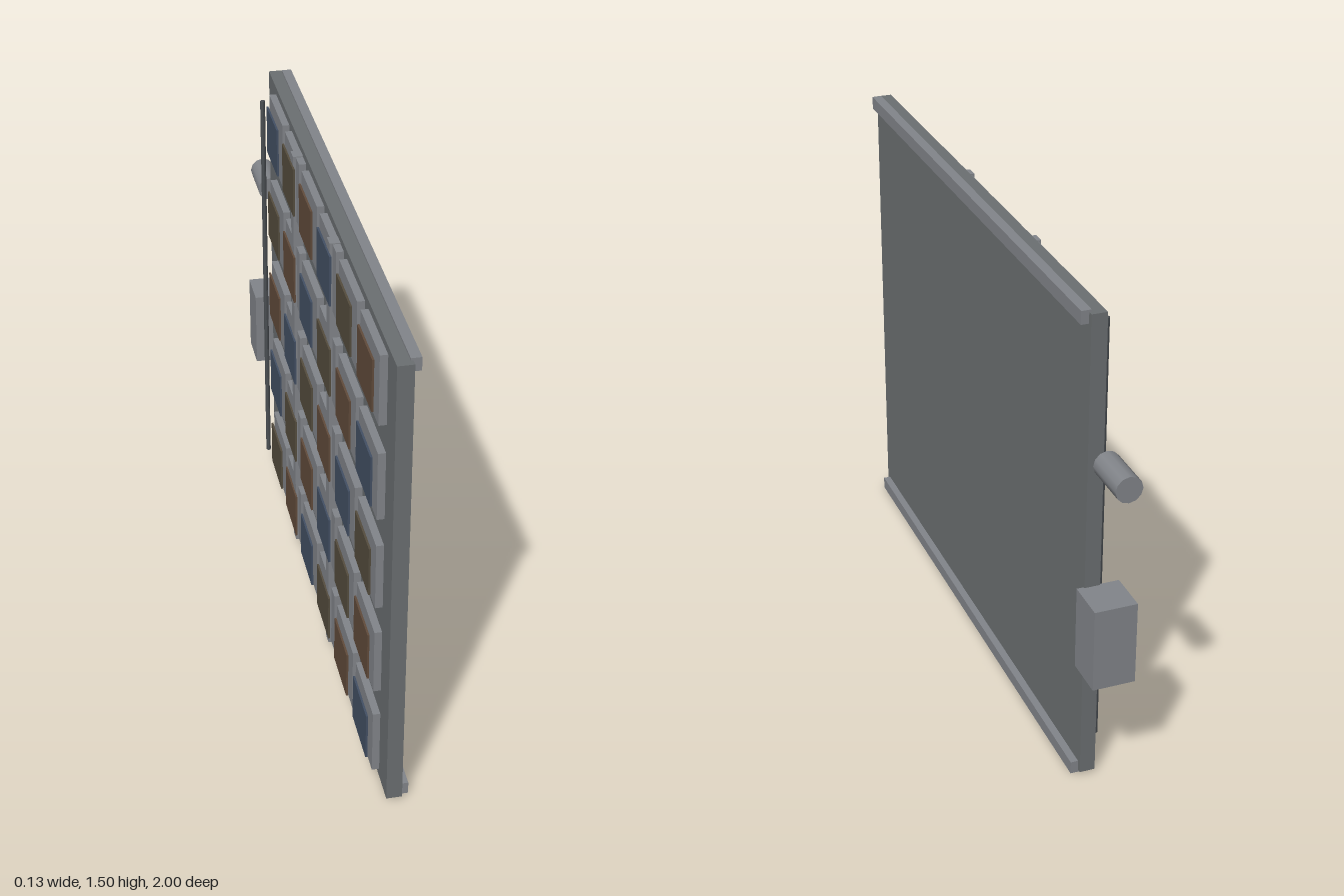
import * as THREE from 'three';

const paint = (color, flatShading = true) => new THREE.MeshStandardMaterial({ color, flatShading });

export function createModel() {
  const model = new THREE.Group();
  const slab = paint(0x6b6f71);
  const steel = paint(0x82858a);
  const dark = paint(0x4a4e52);

  // Box given by its min and max on each axis
  const box = (name, material, [x0, x1], [y0, y1], [z0, z1]) => {
    const mesh = new THREE.Mesh(new THREE.BoxGeometry(x1 - x0, y1 - y0, z1 - z0), material);
    mesh.position.set((x0 + x1) / 2, (y0 + y1) / 2, (z0 + z1) / 2);
    mesh.name = name;
    model.add(mesh);
  };

  // Main slab with a rail along its top and bottom edge
  box('panel', slab, [-0.006, 0.041], [0.012, 1.5], [-0.825, 1]);
  box('bottomRail', steel, [0.034, 0.064], [0.003, 0.043], [-0.81, 0.98]);
  box('topRail', steel, [0.034, 0.064], [1.467, 1.507], [-0.81, 0.98]);

  // Latch block and round bolt at the rear edge
  box('latchBlock', steel, [-0.066, 0.063], [0.397, 0.657], [-0.95, -0.82]);
  const bolt = new THREE.Mesh(new THREE.CylinderGeometry(0.04, 0.04, 0.15, 12), paint(0x82858a, false));
  bolt.name = 'bolt';
  bolt.rotation.x = Math.PI / 2;
  bolt.position.set(-0.004, 1.06, -0.925);
  model.add(bolt);

  // Slim upright rod beside the first column
  const rod = new THREE.Mesh(new THREE.CylinderGeometry(0.008, 0.008, 1.365, 8), dark);
  rod.name = 'uprightRod';
  rod.position.set(-0.044, 0.757, -0.735);
  model.add(rod);

  // Upright strips running behind the panes
  for (const z of [-0.26, 0.29]) {
    box('uprightStrip', steel, [-0.037, -0.006], [0.035, 1.479], [z - 0.02, z + 0.02]);
  }

  // Grid of framed panes in three repeating tints
  const tints = [0x435064, 0x554d3e, 0x614b3b].map((color) => paint(color));
  for (let row = 0; row < 5; row++) {
    for (let col = 0; col < 6; col++) {
      const y = 1.368 - row * 0.305;
      const z = -0.582 + col * 0.274;
      box('tileFrame', steel, [-0.028, -0.006], [y - 0.108, y + 0.108], [z - 0.116, z + 0.116]);
      box('tilePane', tints[(row + col) % 3], [-0.042, -0.036], [y - 0.08, y + 0.08], [z - 0.09, z + 0.09]);
    }
  }

  return model;
}
